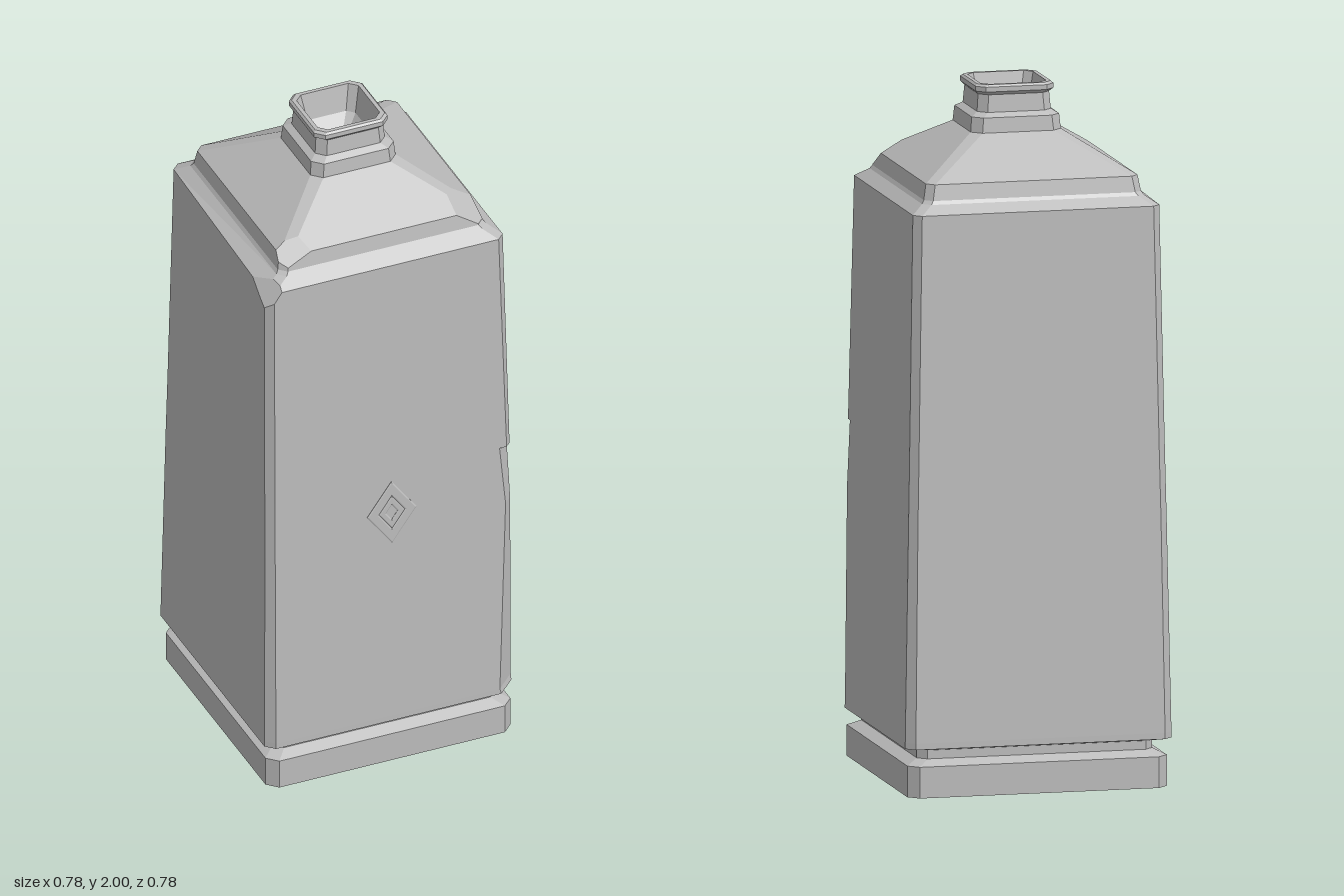
import * as THREE from 'three';

const grey = new THREE.MeshStandardMaterial({ color: 0xbcbcbc });
grey.name = 'stone grey';
grey.flatShading = true;

const V = (x, y, z) => new THREE.Vector3(x, y, z);

// Square ring with bevelled corners: half size, height, bevel,
// front-left-corner bevel, outward lean of the front-right corner
function ring([h, y, c, worn = c, lean = 0]) {
  const k = h - c;
  return [
    V(h - worn, y, h), V(h, y, h - worn),
    V(h, y, -k), V(k, y, -h),
    V(-k, y, -h), V(-h, y, -k),
    V(-h - lean, y, k), V(-k - lean, y, h),
  ];
}

// Skin a stack of rings with triangles, optionally closing either end
function loft(profile, { bottom = false, top = false } = {}) {
  const rings = profile.map(ring), tris = [];
  for (let r = 0; r + 1 < rings.length; r++) {
    const a = rings[r], b = rings[r + 1];
    for (let i = 0; i < 8; i++) {
      const j = (i + 1) % 8;
      tris.push([a[i], a[j], b[j]], [a[i], b[j], b[i]]);
    }
  }
  const last = rings[rings.length - 1];
  for (let i = 1; i < 7; i++) {
    if (bottom) tris.push([rings[0][0], rings[0][i + 1], rings[0][i]]);
    if (top) tris.push([last[0], last[i], last[i + 1]]);
  }
  return tris;
}

// Slice a chip off with the plane n.p = d and cap the cut
function chip(polys, n, d) {
  const out = [], rim = [];
  for (const p of polys) {
    const kept = [];
    p.forEach((a, i) => {
      const b = p[(i + 1) % p.length];
      const da = n.dot(a) - d, db = n.dot(b) - d;
      if (da <= 0) kept.push(a);
      if ((da < 0 && db > 0) || (da > 0 && db < 0)) {
        const q = a.clone().lerp(b, da / (da - db));
        kept.push(q);
        if (!rim.some((r) => r.distanceTo(q) < 1e-5)) rim.push(q);
      }
    });
    if (kept.length > 2) out.push(kept);
  }
  if (rim.length > 2) {
    const mid = rim.reduce((s, p) => s.add(p), V(0, 0, 0)).divideScalar(rim.length);
    const u = rim[0].clone().sub(mid).projectOnPlane(n).normalize();
    const w = n.clone().normalize().cross(u);
    const angle = (p) => Math.atan2(p.clone().sub(mid).dot(w), p.clone().sub(mid).dot(u));
    out.push(rim.sort((a, b) => angle(a) - angle(b)));
  }
  return out;
}

function addMesh(group, name, polys) {
  const pts = [];
  for (const p of polys) {
    for (let i = 1; i + 1 < p.length; i++) {
      const t = new THREE.Triangle(p[0], p[i], p[i + 1]);
      if (t.getArea() > 1e-9) pts.push(t.a, t.b, t.c);
    }
  }
  const geo = new THREE.BufferGeometry().setFromPoints(pts);
  geo.computeVertexNormals();
  const mesh = new THREE.Mesh(geo, grey);
  mesh.name = name;
  group.add(mesh);
}

function diamond(PathType, w, h) {
  return new PathType([[w, 0], [0, h], [-w, 0], [0, -h]].map(([x, y]) => new THREE.Vector2(x, y)));
}

export function createModel() {
  const model = new THREE.Group();
  model.name = 'squarePillar';

  // Plinth with the recessed groove above it
  addMesh(model, 'plinth', loft([
    [0.38, 0, 0.03], [0.38, 0.09, 0.03], [0.345, 0.107, 0.025], [0.345, 0.132, 0.025],
  ], { bottom: true }));

  // Tapering shaft, with a worn front corner on one side and a chipped one on the other
  let shaft = loft([
    [0.345, 0.132, 0.025], [0.39, 0.142, 0.025, 0.055], [0.39, 0.16, 0.025, 0.06],
    [0.378, 0.78, 0.022, 0.025, 0.006], [0.374, 0.97, 0.022, 0.038, 0.009],
    [0.374, 0.97, 0.022, 0.016, 0.009], [0.361, 1.675, 0.022, 0.022, 0.018],
    [0.325, 1.7, 0.022],
  ]);
  shaft = chip(shaft, V(-1.4, 1, 0.56), 2.344);
  addMesh(model, 'shaft', shaft);

  // Sloping shoulder with two chipped front corners
  let shoulder = loft([
    [0.325, 1.7, 0.022], [0.318, 1.71, 0.022], [0.31, 1.755, 0.022], [0.132, 1.865, 0.028],
  ]);
  shoulder = chip(shoulder, V(0.577, 1, 0.577), 2.067);
  shoulder = chip(shoulder, V(-0.4, 1, 0.8), 2.091);
  addMesh(model, 'shoulder', shoulder);

  // Stepped neck, lip and funnel-shaped mouth
  addMesh(model, 'neck', loft([
    [0.132, 1.865, 0.028], [0.128, 1.908, 0.028], [0.108, 1.92, 0.025], [0.104, 1.97, 0.025],
    [0.114, 1.98, 0.025], [0.114, 1.994, 0.025], [0.108, 2, 0.025], [0.096, 2, 0.022],
    [0.08, 1.92, 0.02], [0.012, 1.83, 0.003],
  ], { top: true }));

  // Faint nested diamond relief on the front
  const relief = new THREE.Group();
  relief.name = 'diamondRelief';
  for (const [w, h] of [[0.072, 0.098], [0.036, 0.049]]) {
    const shape = diamond(THREE.Shape, w, h);
    shape.holes.push(diamond(THREE.Path, w * 0.62, h * 0.62));
    const geo = new THREE.ExtrudeGeometry(shape, {
      depth: 0.002, bevelThickness: 0.002, bevelSize: 0.004, bevelSegments: 1,
    });
    const frame = new THREE.Mesh(geo, grey);
    frame.name = 'diamondFrame';
    relief.add(frame);
  }
  relief.position.set(0, 0.845, 0.3755);
  relief.rotation.x = -0.019;
  model.add(relief);

  return model;
}
